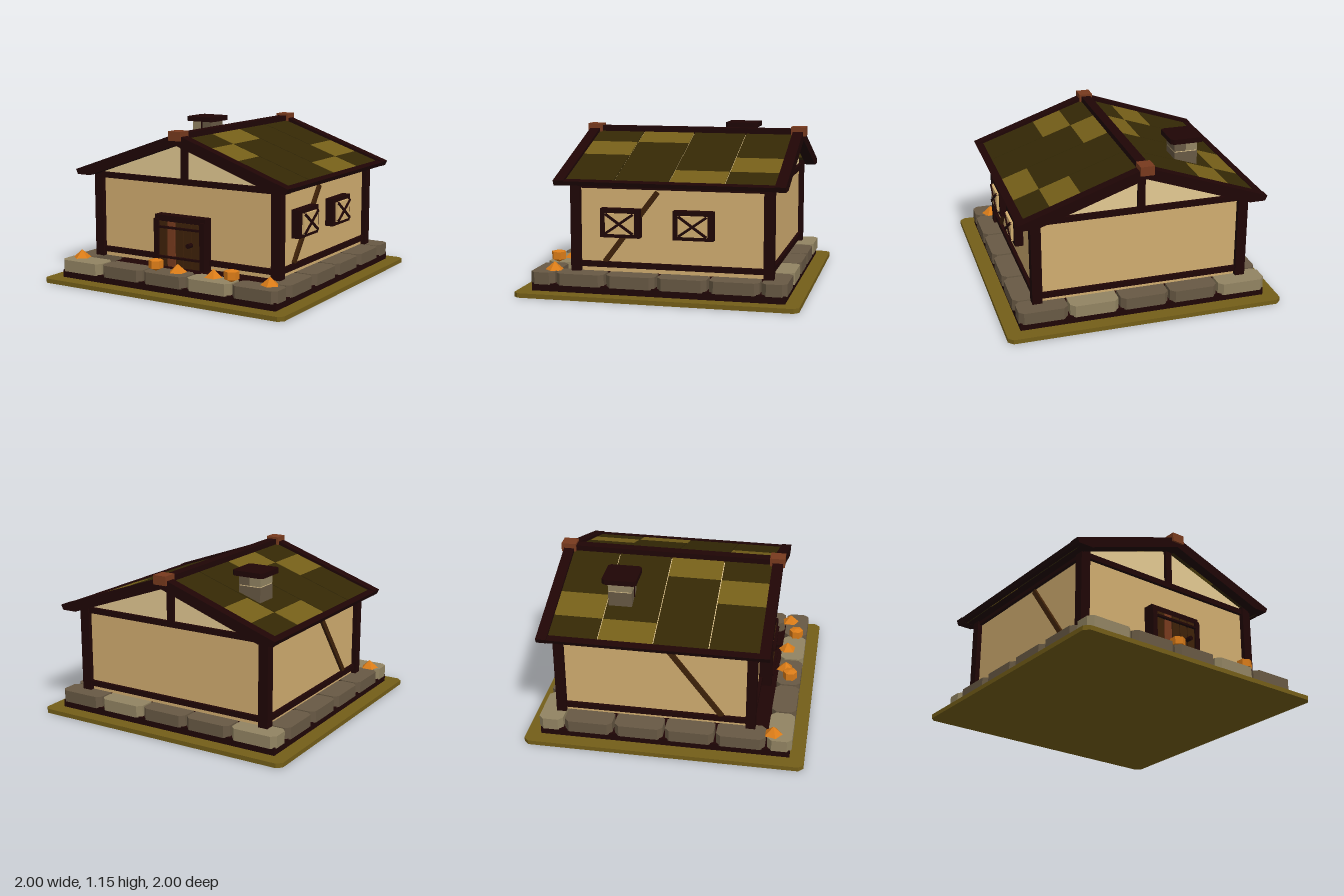
import * as THREE from 'three';

const mat = (name, color) => {
  const m = new THREE.MeshStandardMaterial({ color });
  m.name = name;
  return m;
};

export function createModel() {
  const M = {
    timber: mat('dark timber', 0x1f0505),
    brown: mat('brown wood', 0x3e2108),
    rust: mat('rust wood', 0x783a1e),
    wall: mat('tan plaster', 0xd1ad70),
    cream: mat('cream plaster', 0xe3c992),
    stoneLight: mat('light stone', 0x928462),
    stoneDark: mat('dark stone', 0x685944),
    olive: mat('light olive', 0x745e18),
    moss: mat('dark olive', 0x342805),
    orange: mat('orange', 0xdb7c18),
  };
  const house = new THREE.Group();
  house.name = 'cottage';

  const add = (name, geo, m) => {
    const mesh = new THREE.Mesh(geo, m);
    mesh.name = name;
    house.add(mesh);
    return mesh;
  };
  // Box given by its limits
  const box = (name, m, x0, x1, y0, y1, z0, z1) => {
    const mesh = add(name, new THREE.BoxGeometry(x1 - x0, y1 - y0, z1 - z0), m);
    mesh.position.set((x0 + x1) / 2, (y0 + y1) / 2, (z0 + z1) / 2);
    return mesh;
  };
  // Front profile drawn in x and y, extruded from z0 to z1
  const profile = (name, m, pts, z0, z1) => {
    const shape = new THREE.Shape(pts.map(([x, y]) => new THREE.Vector2(x, y)));
    const geo = new THREE.ExtrudeGeometry(shape, { depth: z1 - z0, bevelEnabled: false });
    return add(name, geo.translate(0, 0, z0), m);
  };
  // Upright block whose four vertical edges are chamfered by c
  const chamferBlock = (name, m, x0, x1, y0, y1, z0, z1, c) => {
    const shape = new THREE.Shape([
      [x0 + c, -z0], [x1 - c, -z0], [x1, -z0 - c], [x1, -z1 + c],
      [x1 - c, -z1], [x0 + c, -z1], [x0, -z1 + c], [x0, -z0 - c],
    ].map(([x, y]) => new THREE.Vector2(x, y)));
    const geo = new THREE.ExtrudeGeometry(shape, { depth: y1 - y0, bevelEnabled: false });
    return add(name, geo.rotateX(-Math.PI / 2).translate(0, y0, 0), m);
  };
  // Small faceted mesh
  const faceted = (name, geo, m) => {
    const flat = geo.toNonIndexed();
    flat.computeVertexNormals();
    return add(name, flat, m);
  };

  // Ground plate and plinth
  chamferBlock('groundPlate', M.olive, -1, 1, 0, 0.032, -1, 1, 0.035);
  box('plinth', M.timber, -0.895, 0.895, 0.03, 0.087, -0.895, 0.895);

  // Ring of foundation stones
  for (let i = 0; i < 5; i++) {
    const x = -0.728 + i * 0.364;
    const m = i % 3 === 0 ? M.stoneLight : M.stoneDark;
    for (const z of [-0.82, 0.82]) {
      chamferBlock('foundationStone', m, x - 0.174, x + 0.174, 0.08, 0.166, z - 0.087, z + 0.087, 0.033);
    }
  }
  for (let i = 0; i < 4; i++) {
    const z = -0.546 + i * 0.364;
    for (const x of [-0.82, 0.82]) {
      chamferBlock('foundationStone', M.stoneDark, x - 0.087, x + 0.087, 0.08, 0.166, z - 0.173, z + 0.173, 0.033);
    }
  }

  // Walls and attic, whose top shows through the roof joints
  box('walls', M.wall, -0.75, 0.75, 0.165, 0.785, -0.765, 0.605);
  profile('attic', M.cream, [[-0.76, 0.785], [0.76, 0.785], [0.825, 0.81], [0, 1.093], [-0.825, 0.81]], -0.765, 0.605);

  // Corner posts, wall beams and gable posts
  for (const s of [-1, 1]) {
    for (const z of [-0.8, 0.57]) {
      const x = s * 0.75;
      box('cornerPost', M.timber, x - 0.036, x + 0.036, 0.165, 0.82, z, z + 0.07);
    }
    for (const [y0, y1] of [[0.198, 0.237], [0.755, 0.796]]) {
      box('sideBeam', M.timber, s * 0.755 - 0.02, s * 0.755 + 0.02, y0, y1, -0.77, 0.61);
    }
  }
  for (const z of [-0.77, 0.61]) {
    for (const [y0, y1] of [[0.198, 0.237], [0.755, 0.796]]) {
      box('gableBeam', M.timber, -0.75, 0.75, y0, y1, z - 0.02, z + 0.02);
    }
    box('kingPost', M.timber, -0.026, 0.026, 0.78, 1.06, z - 0.02, z + 0.02);
  }

  // Diagonal braces on the side walls
  for (const s of [-1, 1]) {
    const brace = add('diagonalBrace', new THREE.BoxGeometry(0.03, 0.63, 0.036), M.brown);
    brace.position.set(s * 0.755, 0.487, 0.207);
    brace.rotation.x = -Math.atan2(0.38, 0.5);
  }

  // Two windows on one side
  for (const z of [0.273, -0.246]) {
    box('windowFrame', M.timber, 0.74, 0.812, 0.418, 0.62, z - 0.142, z + 0.142);
    box('windowPane', M.wall, 0.8, 0.83, 0.446, 0.59, z - 0.102, z + 0.102);
    for (const s of [-1, 1]) {
      const bar = add('windowCrossBar', new THREE.BoxGeometry(0.016, 0.018, 0.24), M.timber);
      bar.position.set(0.831, 0.518, z);
      bar.rotation.x = s * Math.atan2(0.14, 0.2);
    }
  }

  // Front door
  box('doorBack', M.timber, -0.18, 0.18, 0.165, 0.5, 0.6, 0.655);
  for (const s of [-1, 1]) {
    box('doorJamb', M.timber, s * 0.194 - 0.019, s * 0.194 + 0.019, 0.165, 0.51, 0.6, 0.7);
  }
  box('doorLintel', M.timber, -0.213, 0.213, 0.492, 0.538, 0.6, 0.685);
  for (let i = 0; i < 5; i++) {
    const x = -0.14 + i * 0.07;
    box('doorPlank', i === 1 ? M.rust : M.brown, x - 0.031, x + 0.031, 0.17, 0.494, 0.64, 0.69);
  }
  for (const y of [0.24, 0.455]) box('doorStrap', M.timber, -0.175, 0.175, y - 0.007, y + 0.007, 0.68, 0.712);
  const knob = add('doorKnob', new THREE.CylinderGeometry(0.018, 0.018, 0.05, 6), M.timber);
  knob.rotation.x = Math.PI / 2;
  knob.position.set(0.1, 0.345, 0.71);

  // Roof panels: four rows by four columns on each slope
  const roofY = (x) => 1.102 - 0.342 * x;
  const cols = [0, 0.215, 0.43, 0.645, 0.84];
  const rows = [-0.84, -0.468, -0.08, 0.307, 0.69];
  const lightColumn = [2, 3, 0, 1];
  for (const s of [-1, 1]) {
    for (let r = 0; r < 4; r++) {
      for (let c = 0; c < 4; c++) {
        const [a, b] = [cols[c], cols[c + 1]];
        profile('roofPanel', c === lightColumn[r] ? M.olive : M.moss,
          [[s * a, roofY(a)], [s * b, roofY(b)], [s * b, roofY(b) - 0.035], [s * a, roofY(a) - 0.035]],
          rows[r] + 0.0035, rows[r + 1] - 0.0035);
      }
    }
    // Bargeboards at both gables and the eave trim
    for (const z of [-0.89, 0.655]) {
      profile('bargeboard', M.timber,
        [[0, 1.128], [s * 0.888, 0.816], [s * 0.872, 0.78], [s * 0.76, 0.78], [0, 1.048]], z, z + 0.075);
    }
    profile('eaveTrim', M.timber,
      [[s * 0.83, 0.822], [s * 0.886, 0.812], [s * 0.872, 0.782], [s * 0.77, 0.782], [s * 0.77, 0.8], [s * 0.83, 0.8]],
      -0.85, 0.69);
  }

  // Ridge beam and its end caps
  box('ridgeBeam', M.timber, -0.036, 0.036, 1.05, 1.13, -0.88, 0.72);
  for (const z of [-0.855, 0.69]) box('ridgeCap', M.rust, -0.05, 0.05, 1.08, 1.146, z - 0.054, z + 0.054);

  // Chimney of stacked stones
  for (const [y0, y1, left] of [[0.9, 1.03, M.stoneDark], [1.036, 1.105, M.stoneLight]]) {
    box('chimneyStone', left, -0.523, -0.437, y0, y1, -0.452, -0.283);
    box('chimneyStone', M.stoneDark, -0.437, -0.352, y0, y1, -0.452, -0.283);
  }
  box('chimneyCore', M.cream, -0.521, -0.354, 0.95, 1.1, -0.45, -0.285);
  box('chimneyJoint', M.timber, -0.444, -0.43, 0.96, 1.105, -0.284, -0.278);
  chamferBlock('chimneyCap', M.timber, -0.56, -0.315, 1.105, 1.142, -0.49, -0.245, 0.02);

  // Leaf piles and pumpkins on the front stones
  [[-0.815, 0.77], [0.05, 0.785], [0.34, 0.775], [0.78, 0.765]].forEach(([x, z], i) => {
    const pile = faceted('leafPile', new THREE.ConeGeometry(0.07, 0.062, 5), M.orange);
    pile.position.set(x, 0.194, z);
    pile.rotation.y = i * 0.9;
  });
  for (const x of [-0.105, 0.518]) {
    const outline = [[0, 0.165], [0.053, 0.188], [0.053, 0.243], [0, 0.256]].map(([r, y]) => new THREE.Vector2(r, y));
    const pumpkin = faceted('pumpkin', new THREE.LatheGeometry(outline, 6), M.orange);
    pumpkin.position.set(x, 0, 0.828);
  }
  return house;
}
